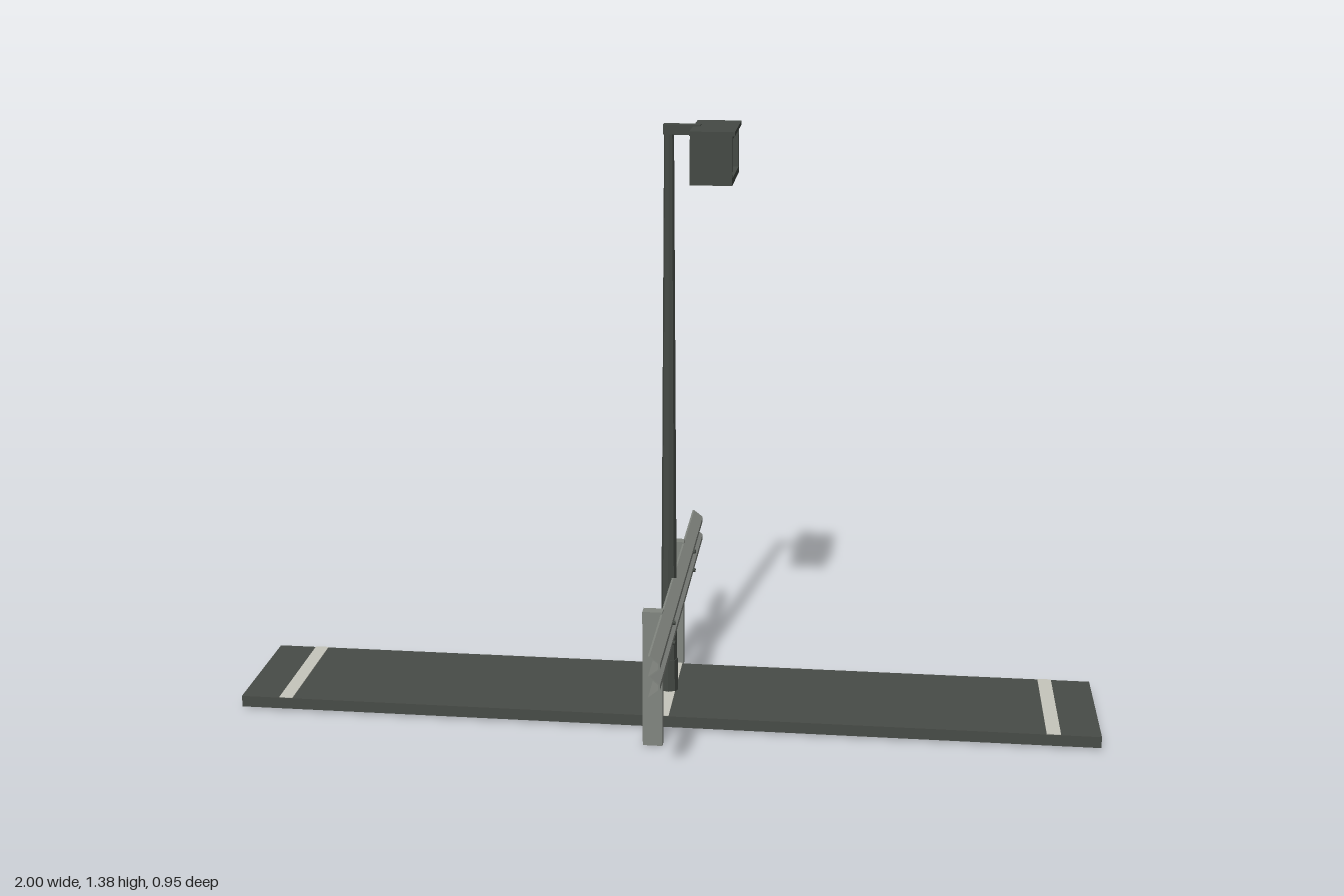
import * as THREE from 'three';

export function createModel() {
  const model = new THREE.Group();
  const mat = (name, color, extra = {}) =>
    Object.assign(new THREE.MeshStandardMaterial({ color, flatShading: true, ...extra }), { name });
  const asphalt = mat('asphalt', 0x484c47);
  const darkMetal = mat('dark metal', 0x454a45);
  const steel = mat('galvanised steel', 0x828680, { side: THREE.DoubleSide });
  const paint = mat('road paint', 0xc6c6bc);
  const glass = mat('lamp glass', 0x9aa3ae);

  const add = (name, geometry, material, x = 0, y = 0, z = 0) => {
    const mesh = new THREE.Mesh(geometry, material);
    mesh.name = name;
    mesh.position.set(x, y, z);
    model.add(mesh);
    return mesh;
  };
  // Box given by its minimum and maximum corners
  const box = (name, material, [x0, y0, z0], [x1, y1, z1]) =>
    add(name, new THREE.BoxGeometry(x1 - x0, y1 - y0, z1 - z0), material,
      (x0 + x1) / 2, (y0 + y1) / 2, (z0 + z1) / 2);

  // Road strip with painted cross lines
  box('roadSlab', asphalt, [-1, 0.005, -0.153], [1, 0.032, 0.153]);
  for (const x of [-0.893, 0, 0.893]) {
    box('roadStripe', paint, [x - 0.016, 0.031, -0.152], [x + 0.016, 0.034, 0.152]);
  }

  // Tapered lamp pole with a sleeve at its foot
  const shaft = new THREE.CylinderGeometry(0.011, 0.0195, 1.335, 8);
  add('pole', shaft, darkMetal, 0, 0.032 + 1.335 / 2, 0);
  add('poleSleeve', new THREE.CylinderGeometry(0.021, 0.022, 0.08, 8), darkMetal, 0, 0.072, 0);
  box('lampArm', darkMetal, [-0.012, 1.354, -0.012], [0.07, 1.376, 0.012]);

  // Lamp housing: rectangular frame opening towards +x, with a closed back
  const rect = (shape, w, h) => {
    shape.moveTo(-w, -h);
    shape.lineTo(w, -h);
    shape.lineTo(w, h);
    shape.lineTo(-w, h);
    shape.closePath();
    return shape;
  };
  const lampY = 1.3145;
  const frame = rect(new THREE.Shape(), 0.093, 0.0575);
  frame.holes.push(rect(new THREE.Path(), 0.08, 0.042));
  const housing = new THREE.ExtrudeGeometry(frame, { depth: 0.092, bevelEnabled: false });
  housing.rotateY(Math.PI / 2);
  add('lampHousing', housing, darkMetal, 0.055, lampY, 0);
  box('lampBack', darkMetal, [0.0555, lampY - 0.05, -0.085], [0.095, lampY + 0.05, 0.085]);
  box('lampGlass', glass, [0.094, lampY - 0.032, -0.066], [0.1, lampY + 0.032, 0.066]);
  box('lampLid', darkMetal, [0.054, 1.364, -0.095], [0.152, 1.373, 0.095]);

  // Guard rail posts and their bolts
  for (const z of [-0.23, 0.23]) {
    box('railPost', steel, [-0.033, 0, z - 0.0125], [0.012, 0.325, z + 0.0125]);
    for (const y of [0.297, 0.249]) {
      const bolt = new THREE.CylinderGeometry(0.005, 0.005, 0.03, 6);
      bolt.rotateZ(Math.PI / 2);
      add('railBolt', bolt, darkMetal, 0.025, y, z);
    }
  }

  // Corrugated rail: folded thin sheet, outlined in x and y and swept along z
  const fold = [
    [0.012, 0.32], [0.034, 0.303], [0.034, 0.291], [0.012, 0.273],
    [0.034, 0.255], [0.034, 0.243], [0.012, 0.225],
  ];
  const t = 0.004;
  const outline = [...fold, ...fold.map(([x, y]) => [x - t, y]).reverse()];
  const section = new THREE.Shape(outline.map(([x, y]) => new THREE.Vector2(x, y)));
  const rail = new THREE.ExtrudeGeometry(section, { depth: 0.95, bevelEnabled: false });
  add('guardRail', rail, steel, 0, 0, -0.475);

  return model;
}
